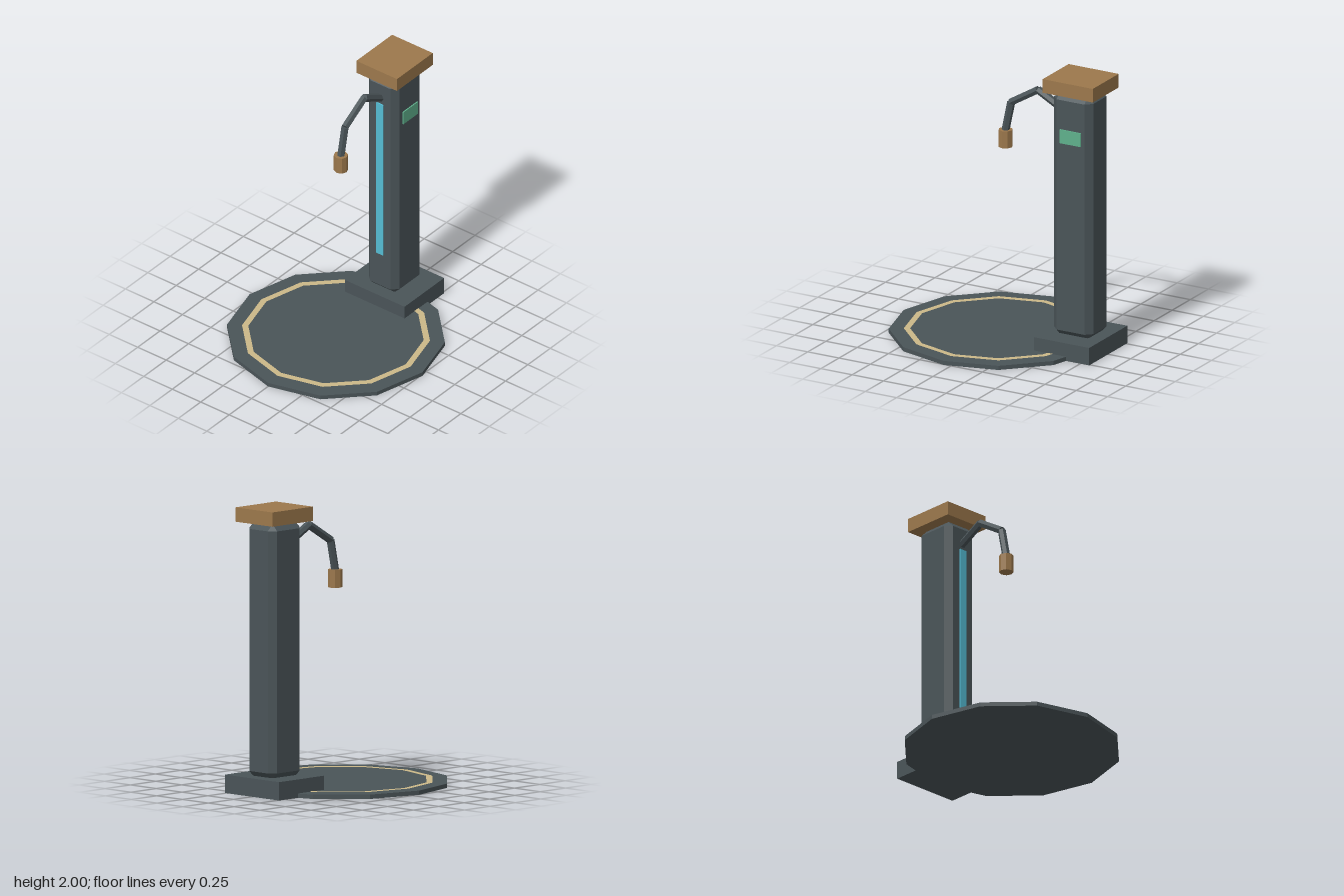
import * as THREE from 'three';
import { ConvexGeometry } from 'three/addons/geometries/ConvexGeometry.js';

const mat = (name, color, extra = {}) => Object.assign(new THREE.MeshStandardMaterial({ color, flatShading: true, ...extra }), { name });

// Box with every edge and corner chamfered by c
function chamferedBox(w, h, d, c) {
  const pts = [];
  for (const x of [-1, 1]) for (const y of [-1, 1]) for (const z of [-1, 1]) {
    const p = [x * w / 2, y * h / 2, z * d / 2], s = [x, y, z];
    for (let k = 0; k < 3; k++) {
      pts.push(new THREE.Vector3(...p.map((v, i) => (i === k ? v : v - s[i] * c))));
    }
  }
  return new ConvexGeometry(pts);
}

export function createModel() {
  const group = new THREE.Group();
  const slate = mat('slate', 0x4a5458);
  const wood = mat('wood', 0x9c784c);
  const sand = mat('sand', 0xcbb888);
  const cyan = mat('cyan', 0x55bcd4);
  const green = mat('green', 0x5fb08c);

  const add = (name, geo, material, x, y, z) => {
    const mesh = new THREE.Mesh(geo, material);
    mesh.name = name;
    mesh.position.set(x, y, z);
    group.add(mesh);
    return mesh;
  };
  const box = (name, material, w, h, d, x, y, z) =>
    add(name, new THREE.BoxGeometry(w, h, d), material, x, y, z);

  // Twelve-sided floor plate with an inlaid ring
  add('floorPlate', new THREE.CylinderGeometry(0.76, 0.76, 0.03, 12), slate, 0, 0.015, 0.055);
  add('floorRing', new THREE.RingGeometry(0.612, 0.656, 12), sand, 0, 0.033, 0.055).rotation.x = -Math.PI / 2;

  // Pedestal, column and cap
  box('pedestal', slate, 0.525, 0.128, 0.442, 0, 0.064, -0.599);
  add('column', chamferedBox(0.27, 1.782, 0.314, 0.046), slate, 0, 1.009, -0.597);
  box('cap', wood, 0.357, 0.1, 0.4, 0, 1.95, -0.6);

  // Light strip on the front, panel on the left side
  box('lightStrip', cyan, 0.06, 1.266, 0.009, 0, 1.063, -0.4355);
  box('sidePanel', green, 0.009, 0.1, 0.166, 0.1395, 1.59, -0.598);

  // Jointed arm made of six-sided rods; each joint is [y, z]
  const joints = [[1.735, -0.46], [1.842, -0.26], [1.713, -0.045], [1.5, 0]];
  for (let i = 0; i < joints.length - 1; i++) {
    const [y0, z0] = joints[i], [y1, z1] = joints[i + 1];
    const len = Math.hypot(y1 - y0, z1 - z0);
    const geo = new THREE.CylinderGeometry(0.028, 0.028, len, 6, 1, false, Math.PI / 2);
    add('armRod' + (i + 1), geo, slate, 0, (y0 + y1) / 2, (z0 + z1) / 2)
      .rotation.x = Math.atan2(z1 - z0, y1 - y0);
  }

  // Hanging head at the end of the arm
  add('armHead', new THREE.CylinderGeometry(0.05, 0.05, 0.125, 8), wood, 0, 1.4425, 0);

  return group;
}
